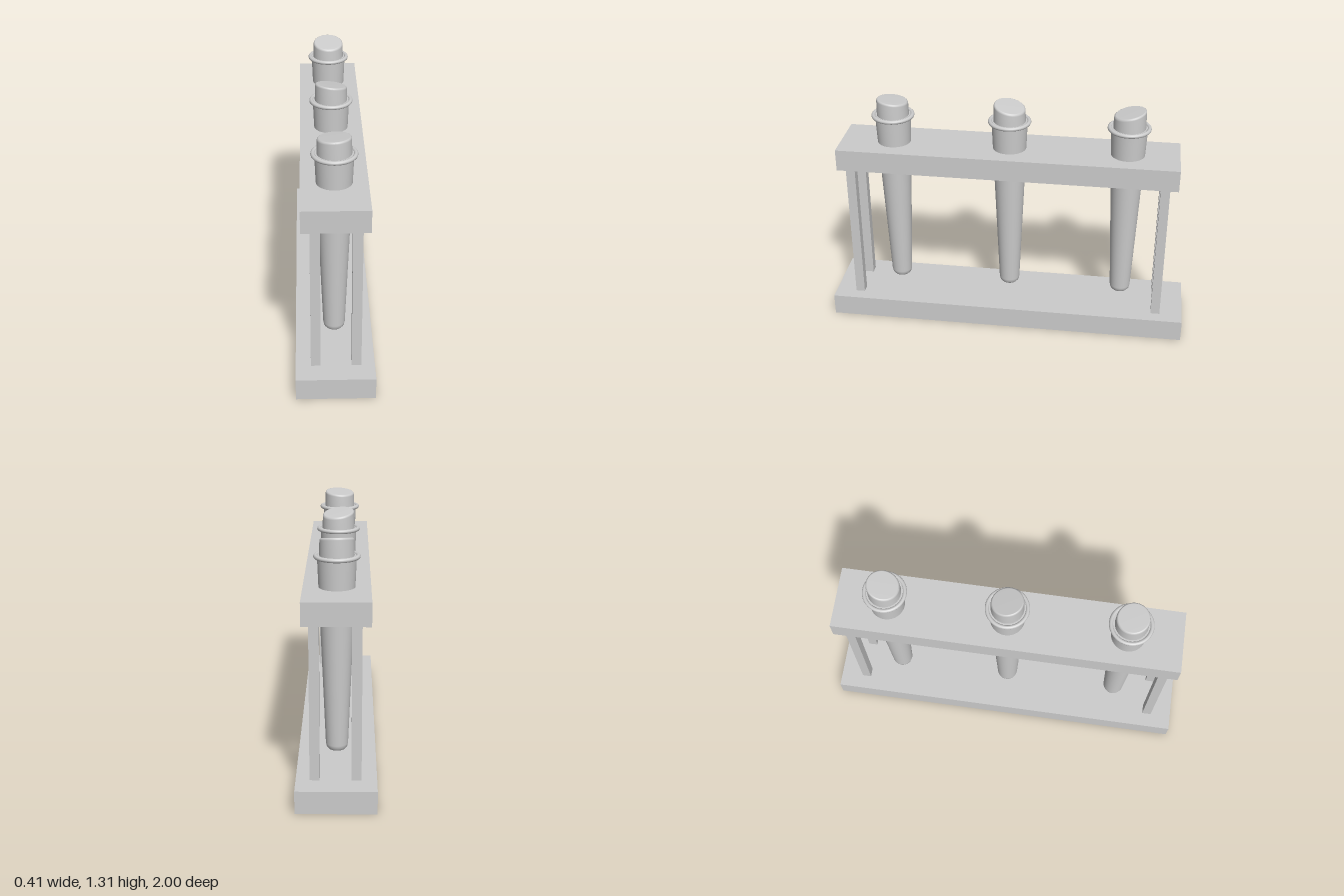
import * as THREE from 'three';

const material = new THREE.MeshStandardMaterial({ color: 0xcccccc });

function add(parent, name, geometry, x = 0, y = 0, z = 0) {
  const mesh = new THREE.Mesh(geometry, material);
  mesh.name = name;
  mesh.position.set(x, y, z);
  parent.add(mesh);
  return mesh;
}

const lathe = (points) =>
  new THREE.LatheGeometry(points.map(([r, y]) => new THREE.Vector2(r, y)), 48);

// Tapered tube with a rounded foot and a closed lip around the stopper
function tubeBody() {
  const foot = [[0, 0.185], [0.03, 0.187], [0.044, 0.193], [0.053, 0.204], [0.057, 0.222]];
  return lathe([...foot, [0.086, 0.93], [0.097, 1.2]]);
}

// Stopper whose top is sheared to a slant
function stopper(slopeX, slopeZ) {
  const top = 1.293;
  const geometry = lathe([[0.087, 1.19], [0.085, top - 0.012], [0.0835, top - 0.005],
    [0.079, top - 0.001], [0.076, top], [0, top]]);
  const p = geometry.attributes.position;
  for (let i = 0; i < p.count; i++) {
    if (p.getY(i) > 1.25) p.setY(i, p.getY(i) + slopeX * p.getX(i) + slopeZ * p.getZ(i));
  }
  geometry.computeVertexNormals();
  return geometry;
}

export function createModel() {
  const model = new THREE.Group();
  model.name = 'testTubeRack';

  // Rack: base, upper plank and four square posts
  add(model, 'base', new THREE.BoxGeometry(0.405, 0.12, 2), 0, 0.06, 0);
  add(model, 'topPlank', new THREE.BoxGeometry(0.337, 0.12, 1.843), 0, 0.99, 0.003);
  for (const x of [-0.1, 0.108]) {
    for (const z of [-0.85, 0.86]) {
      add(model, 'post', new THREE.BoxGeometry(0.05, 0.83, 0.05), x, 0.525, z);
    }
  }

  // Tubes: position along the rack and the slant of each stopper
  const tubes = [[0.635, 0.06, 0.11], [-0.002, -0.12, 0.17], [-0.64, -0.02, -0.22]];
  for (const [z, slopeX, slopeZ] of tubes) {
    const tube = new THREE.Group();
    tube.name = 'testTube';
    tube.position.z = z;
    add(tube, 'tubeBody', tubeBody());
    add(tube, 'lip', new THREE.RingGeometry(0.08, 0.106, 48), 0, 1.208, 0).rotation.x = -Math.PI / 2;
    add(tube, 'rim', new THREE.TorusGeometry(0.105, 0.011, 12, 48), 0, 1.204, 0).rotation.x = Math.PI / 2;
    add(tube, 'stopper', stopper(slopeX, slopeZ));
    model.add(tube);
  }
  return model;
}
